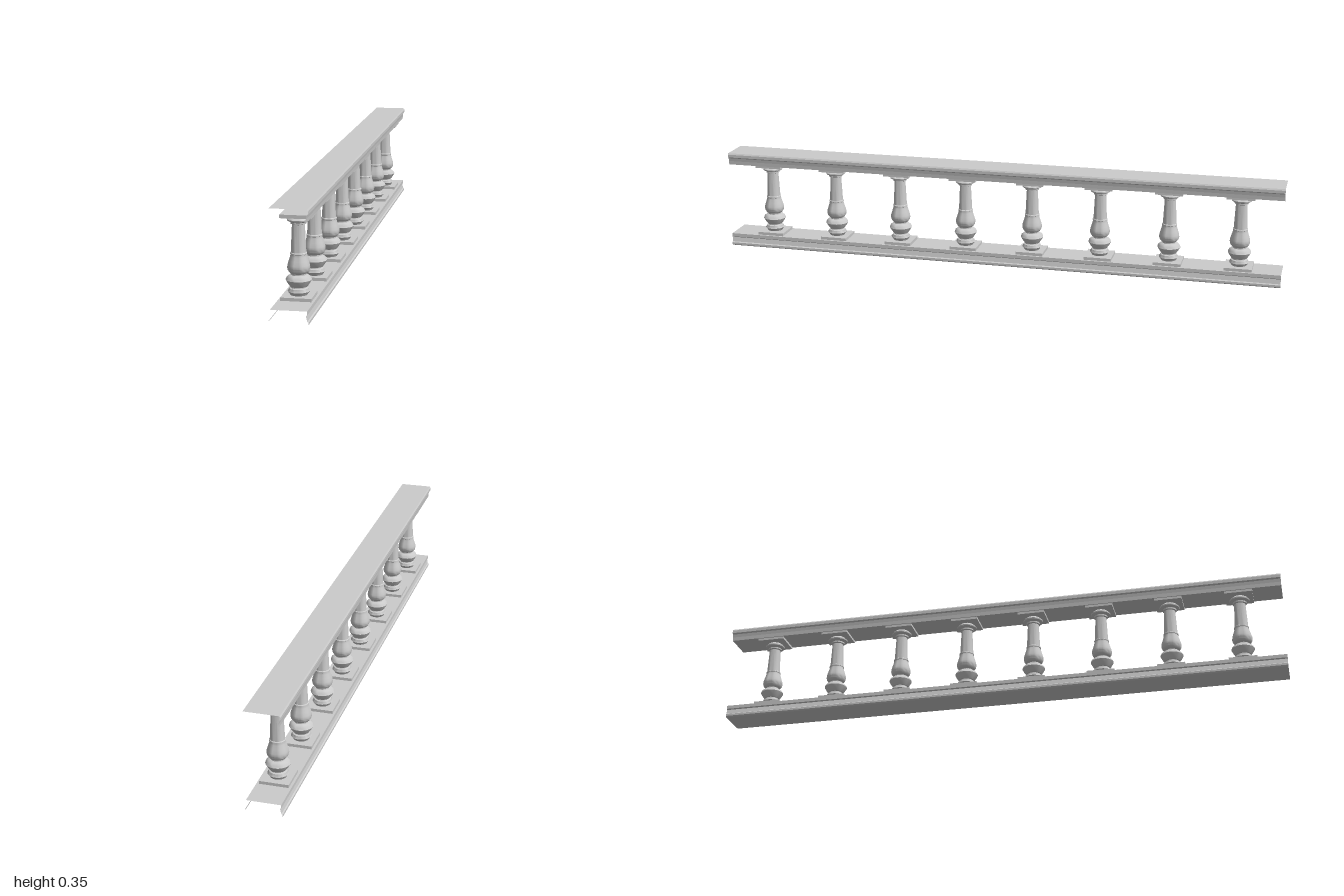
import * as THREE from 'three';
import { toCreasedNormals } from 'three/addons/utils/BufferGeometryUtils.js';

const material = new THREE.MeshStandardMaterial({ color: 0xcccccc });

// Moulded rail, open at both ends: right half profile, bottom to top, mirrored
function railGeometry(half, length) {
  const loop = [...half, ...half.map(([x, y]) => [-x, y]).reverse()];
  const h = length / 2;
  const pos = [];
  loop.forEach(([ax, ay], i) => {
    const [bx, by] = loop[(i + 1) % loop.length];
    pos.push(ax, ay, h, ax, ay, -h, bx, by, -h);
    pos.push(ax, ay, h, bx, by, -h, bx, by, h);
  });
  const g = new THREE.BufferGeometry();
  g.setAttribute('position', new THREE.Float32BufferAttribute(pos, 3));
  g.computeVertexNormals();
  return g;
}

function addMesh(parent, name, geometry, y = 0) {
  const mesh = new THREE.Mesh(geometry, material);
  mesh.name = name;
  mesh.position.y = y;
  parent.add(mesh);
}

export function createModel() {
  const model = new THREE.Group();
  model.name = 'balustrade';

  // Rails
  addMesh(model, 'bottomRail', railGeometry([
    [0.055, 0], [0.06, 0.004], [0.06, 0.011], [0.056, 0.014], [0.054, 0.022],
    [0.052, 0.03], [0.056, 0.033], [0.056, 0.045],
  ], 2));
  addMesh(model, 'topRail', railGeometry([
    [0.052, 0.307], [0.053, 0.32], [0.055, 0.331], [0.06, 0.335],
    [0.06, 0.345], [0.057, 0.35],
  ], 2));

  // Turned shaft: radius, height
  const profile = [
    [0.026, 0.054], [0.028, 0.058], [0.034, 0.066], [0.029, 0.075], [0.024, 0.077],
    [0.024, 0.08], [0.027, 0.081], [0.034, 0.091], [0.04, 0.102], [0.037, 0.109],
    [0.03, 0.115], [0.023, 0.117], [0.023, 0.121], [0.028, 0.124], [0.033, 0.131],
    [0.035, 0.139], [0.034, 0.148], [0.03, 0.161], [0.026, 0.174], [0.0245, 0.18],
    [0.026, 0.181], [0.026, 0.185], [0.0235, 0.187], [0.0195, 0.273], [0.024, 0.275],
    [0.024, 0.28], [0.027, 0.281], [0.034, 0.285], [0.035, 0.289], [0.03, 0.294],
    [0.024, 0.299],
  ].map(([r, y]) => new THREE.Vector2(r, y));
  const shaft = toCreasedNormals(new THREE.LatheGeometry(profile, 24), 0.6);
  const plinth = new THREE.BoxGeometry(0.096, 0.017, 0.096);
  const abacus = new THREE.BoxGeometry(0.096, 0.011, 0.096);

  // Evenly spaced balusters
  const count = 8, spacing = 0.2435;
  for (let i = 0; i < count; i++) {
    const baluster = new THREE.Group();
    baluster.name = `baluster${i + 1}`;
    baluster.position.z = (i - (count - 1) / 2) * spacing;
    addMesh(baluster, 'plinth', plinth, 0.0465);
    addMesh(baluster, 'shaft', shaft);
    addMesh(baluster, 'abacus', abacus, 0.3045);
    model.add(baluster);
  }
  return model;
}
